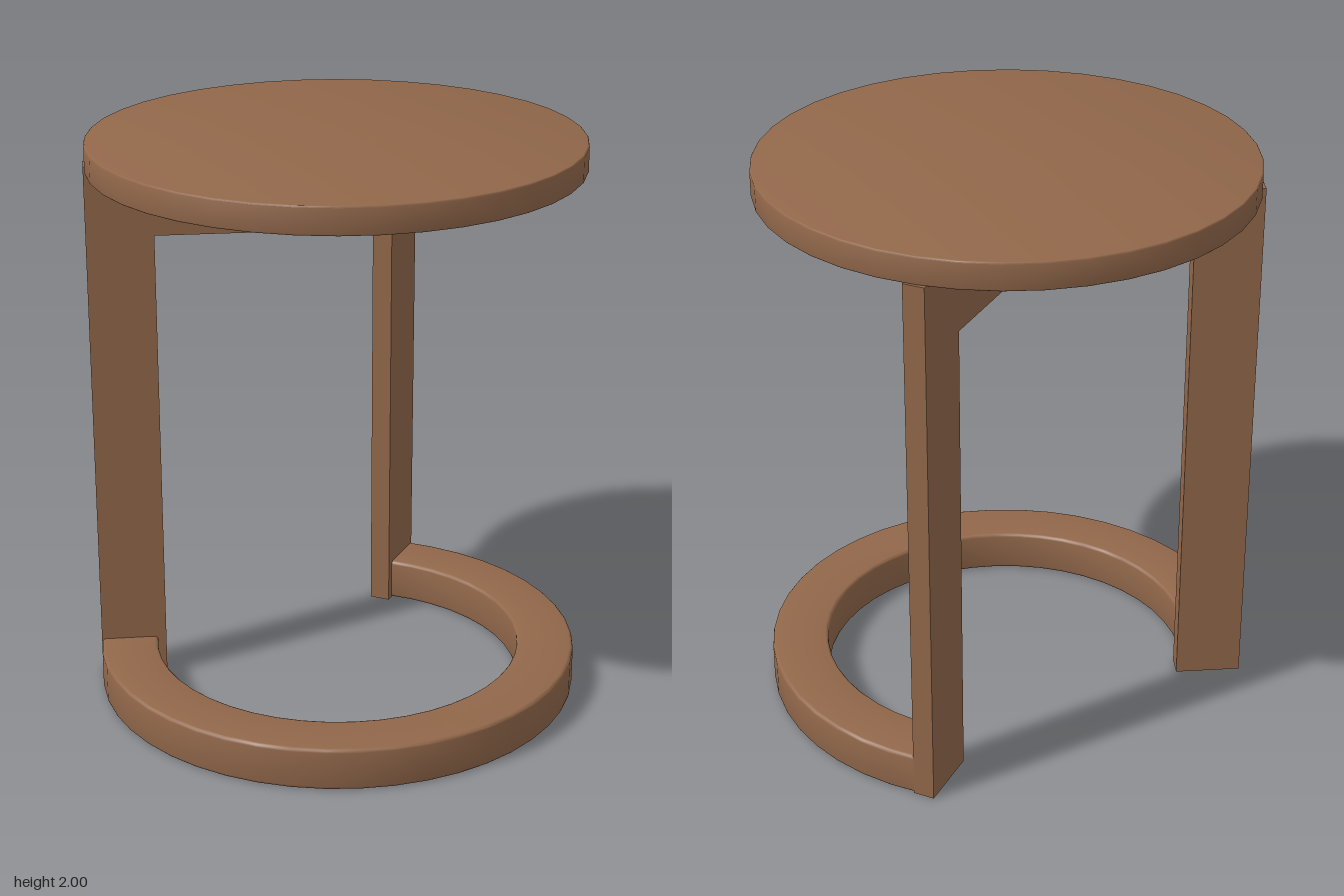
import * as THREE from 'three';
import { toCreasedNormals } from 'three/addons/utils/BufferGeometryUtils.js';

const wood = new THREE.MeshStandardMaterial({ color: 0x91674a });
wood.name = 'brown wood';

// Rounded corner points, from angle a (degrees) through a quarter turn
function corner(x, y, r, a) {
  return [0, 30, 60, 90].map((d) => {
    const t = THREE.MathUtils.degToRad(a + d);
    return new THREE.Vector2(x + r * Math.cos(t), y + r * Math.sin(t));
  });
}

function lathe(name, points, segments, start = 0, length = Math.PI * 2) {
  const geometry = toCreasedNormals(new THREE.LatheGeometry(points, segments, start, length), 0.6);
  const mesh = new THREE.Mesh(geometry, wood);
  mesh.name = name;
  return mesh;
}

// Round top with a slightly softened rim
function tableTop() {
  const R = 0.843, y0 = 1.905, y1 = 2, b = 0.006;
  const mesh = lathe('tableTop', [
    new THREE.Vector2(0, y0),
    ...corner(R - b, y0 + b, b, -90),
    ...corner(R - b, y1 - b, b, 0),
    new THREE.Vector2(0, y1),
  ], 40);
  mesh.position.z = -0.006;
  return mesh;
}

// Open ring on the floor; its ends are buried in the legs
function baseRing() {
  const R = 0.851, r = 0.65, h = 0.15, b = 0.012;
  const points = [
    ...corner(R - b, b, b, -90),
    ...corner(R - b, h - b, b, 0),
    ...corner(r + b, h - b, b, 90),
    ...corner(r + b, b, b, 180),
  ];
  points.push(points[0].clone());
  const half = THREE.MathUtils.degToRad(125.3);
  return lathe('baseRing', points, 32, -half, half * 2);
}

// Leg and arm in one L-shaped board, mitred where it meets its twin
function legFrame(name, side) {
  const inner = 0.588, outer = 0.82, under = 1.66, top = 1.907, thick = 0.075;
  const angle = Math.PI / 6;
  const outline = [[0, under], [inner, under], [inner, 0], [outer, 0], [outer, top], [0, top]];
  const shape = new THREE.Shape(outline.map(([x, y]) => new THREE.Vector2(side * x, y)));
  const geometry = new THREE.ExtrudeGeometry(shape, { depth: thick, bevelEnabled: false });
  geometry.translate(0, 0, -thick);
  const p = geometry.attributes.position;
  for (let i = 0; i < p.count; i++) {
    if (Math.abs(p.getX(i)) < 1e-4) p.setX(i, -side * p.getZ(i) * Math.tan(angle));
  }
  geometry.computeVertexNormals();
  const mesh = new THREE.Mesh(geometry, wood);
  mesh.name = name;
  mesh.rotation.y = side * angle;
  mesh.position.z = -0.06;
  return mesh;
}

export function createModel() {
  const model = new THREE.Group();
  model.name = 'sideTable';
  model.add(tableTop(), baseRing(), legFrame('leftLegFrame', 1), legFrame('rightLegFrame', -1));
  return model;
}
